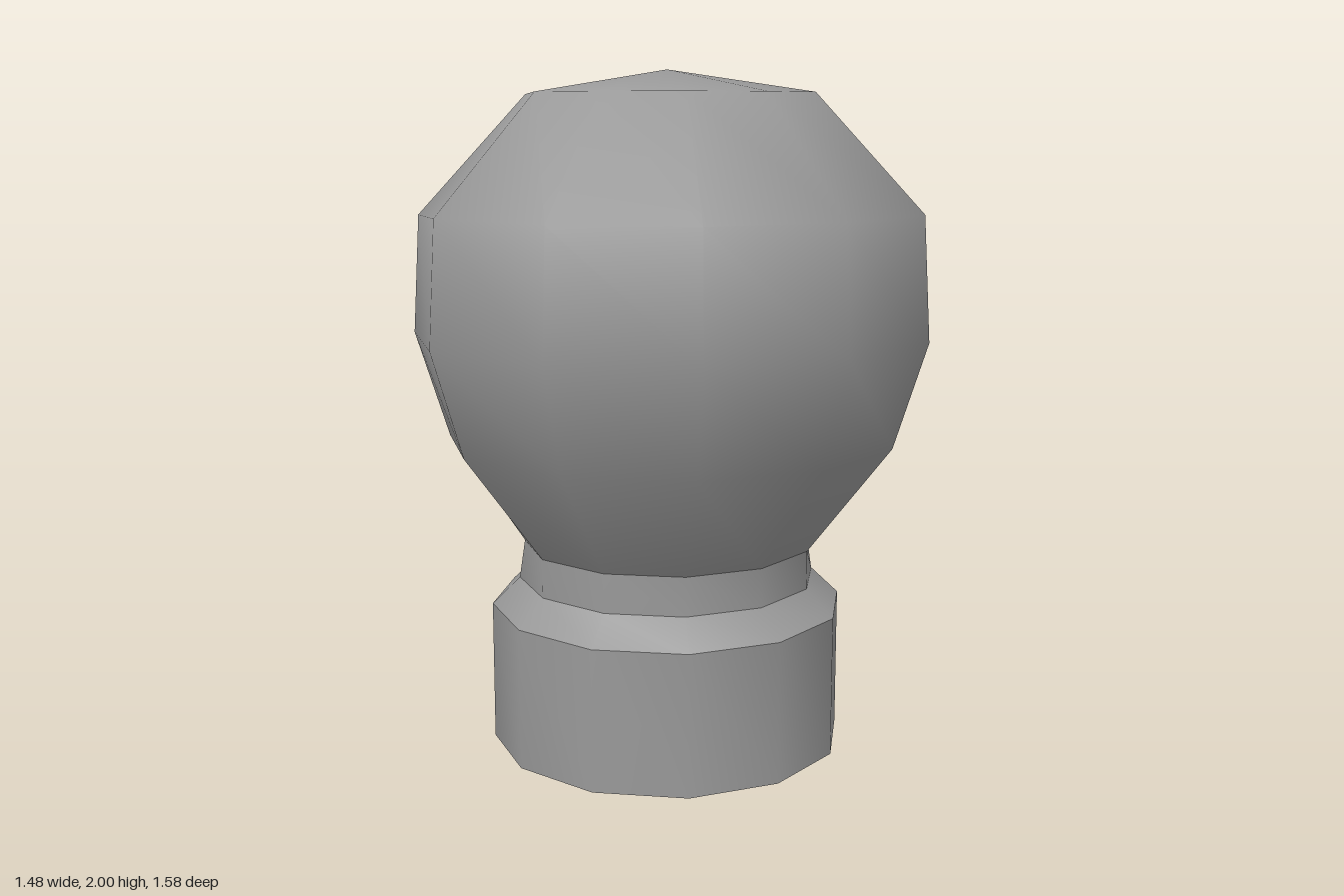
import * as THREE from 'three';
import { toCreasedNormals } from 'three/addons/utils/BufferGeometryUtils.js';

const SIDES = 12;
const material = new THREE.MeshStandardMaterial({ color: 0x999999, side: THREE.DoubleSide });

// Twelve-sided shell; each ring is [radius, height, inward pull and drop of its left and right corners].
function shell(name, rings, crease) {
  const geometry = new THREE.LatheGeometry(rings.map(([r, y]) => new THREE.Vector2(r, y)), SIDES);
  const position = geometry.attributes.position;
  for (let i = 0; i < position.count; i++) {
    const x = position.getX(i);
    if (Math.abs(x) < 1e-4 || Math.abs(position.getZ(i)) > 1e-4) continue;
    const [, y, pull = 0, drop = 0] = rings[i % rings.length];
    position.setX(i, x - Math.sign(x) * pull);
    position.setY(i, y - drop);
  }
  const mesh = new THREE.Mesh(toCreasedNormals(geometry, crease), material);
  mesh.name = name;
  return mesh;
}

export function createModel() {
  const group = new THREE.Group();
  group.name = 'bulb';
  const sharp = Math.PI / 4.5;

  // Open hollow base with a bevelled shoulder
  group.add(shell('baseCollar', [[0.53, 0], [0.53, 0.42]], sharp));
  group.add(shell('baseShoulder', [[0.53, 0.42], [0.447, 0.5]], sharp));
  group.add(shell('neck', [[0.447, 0.5], [0.447, 0.615, 0.017]], sharp));

  // Rounded globe, slightly narrower from side to side
  group.add(shell('globe', [
    [0.447, 0.615, 0.017],
    [0.695, 0.942, 0.05],
    [0.792, 1.25, 0.052],
    [0.77, 1.603, 0.05, 0.013],
    [0.45, 1.935, 0.042, 0.005],
    [0, 2],
  ], Math.PI));

  return group;
}
